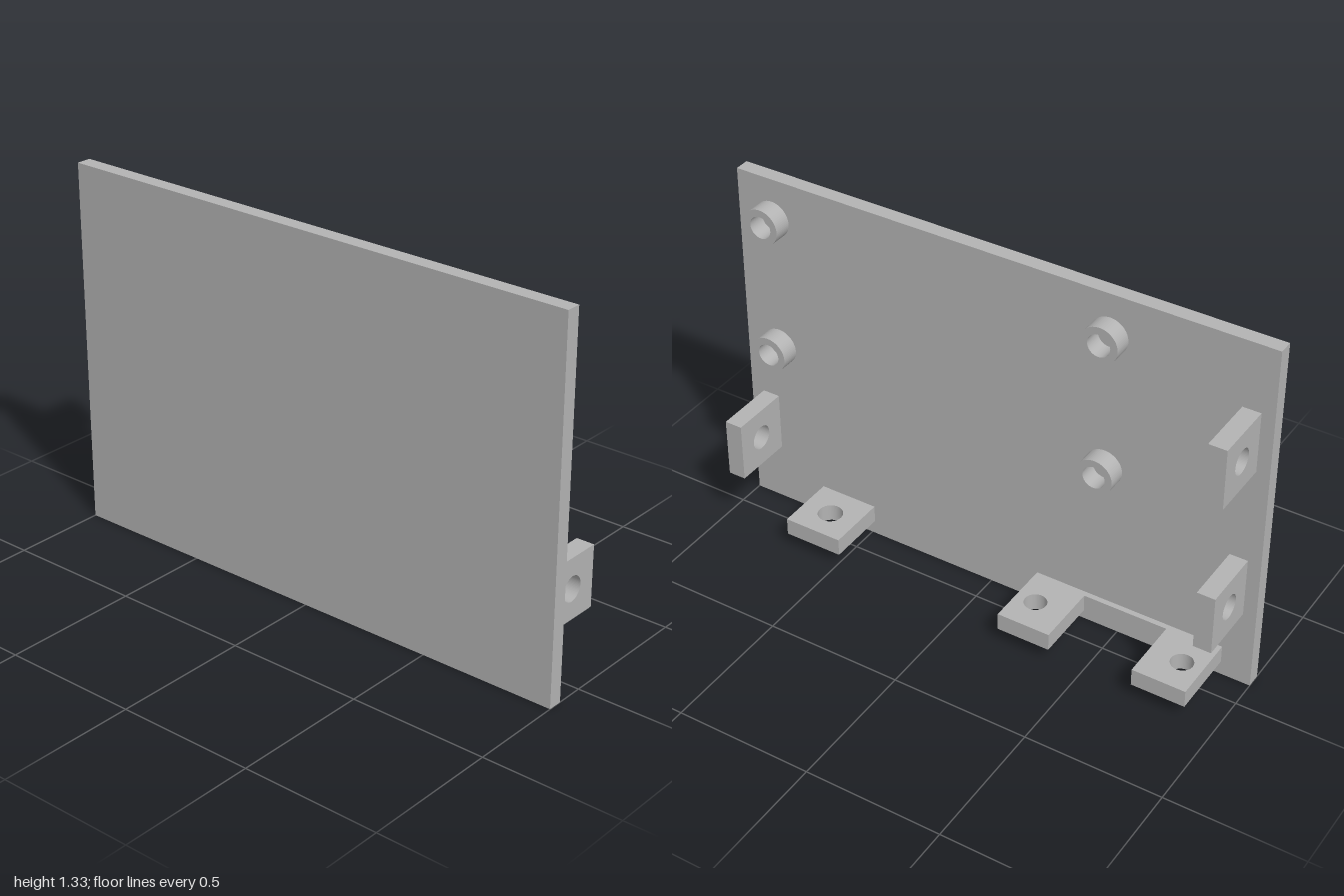
import * as THREE from 'three';

export function createModel() {
  const group = new THREE.Group();
  const grey = new THREE.MeshStandardMaterial({ color: 0xb3b3b3 });
  grey.name = 'plain grey';

  const add = (name, geometry) => {
    const mesh = new THREE.Mesh(geometry, grey);
    mesh.name = name;
    group.add(mesh);
    return mesh;
  };
  const box = (name, x0, x1, y0, y1, z0, z1) =>
    add(name, new THREE.BoxGeometry(x1 - x0, y1 - y0, z1 - z0))
      .position.set((x0 + x1) / 2, (y0 + y1) / 2, (z0 + z1) / 2);

  const back = 0.1; // z of the panel's rear face

  // Extrude a outline with one round hole
  const drilled = (shape, hx, hy, r, depth, segments) => {
    const hole = new THREE.Path();
    hole.absarc(hx, hy, r, 0, Math.PI * 2, true);
    shape.holes.push(hole);
    return new THREE.ExtrudeGeometry(shape, { depth, bevelEnabled: false, curveSegments: segments });
  };
  const rect = (a0, a1, b0, b1) => new THREE.Shape([
    new THREE.Vector2(a0, b0), new THREE.Vector2(a1, b0),
    new THREE.Vector2(a1, b1), new THREE.Vector2(a0, b1),
  ]);

  // Main panel
  box('panel', -1, 1, 0, 1.333, back, 0.153);

  // Hollow standoffs on the rear face
  for (const x of [0.865, -0.423]) {
    for (const y of [1.18, 0.669]) {
      const ring = new THREE.Shape().absarc(0, 0, 0.067, 0, Math.PI * 2, false);
      add('standoff', drilled(ring, 0, 0, 0.041, 0.067, 32)).position.set(x, y, back - 0.067);
    }
  }

  // Upright side tabs, drilled along x: [inner x, centre y]
  for (const [x, y] of [[0.885, 0.336], [-0.953, 0.979], [-0.953, 0.401]]) {
    const geometry = drilled(rect(-back, 0.122, -0.111, 0.111), 0.012, 0, 0.045, 0.065, 32);
    geometry.rotateY(Math.PI / 2);
    add('sideTab', geometry).position.set(x, y, 0);
  }

  // Flat bottom tabs, drilled along y: [x0, x1, rear z, hole x, hole z, hole radius]
  for (const [x0, x1, z, hx, hz, r] of [
    [0.488, 0.708, -0.122, 0.598, -0.014, 0.045],
    [-0.89, -0.693, -0.155, -0.814, -0.036, 0.04],
    [-0.38, -0.183, -0.155, -0.258, -0.036, 0.04],
  ]) {
    const geometry = drilled(rect(x0, x1, -back, -z), hx, -hz, r, 0.065, 32);
    geometry.rotateX(-Math.PI / 2);
    add('bottomTab', geometry).position.y = 0.053;
  }

  // Thin strip joining the paired bottom tabs
  box('bottomStrip', -0.693, -0.38, 0.053, 0.118, 0.08, back);

  return group;
}
